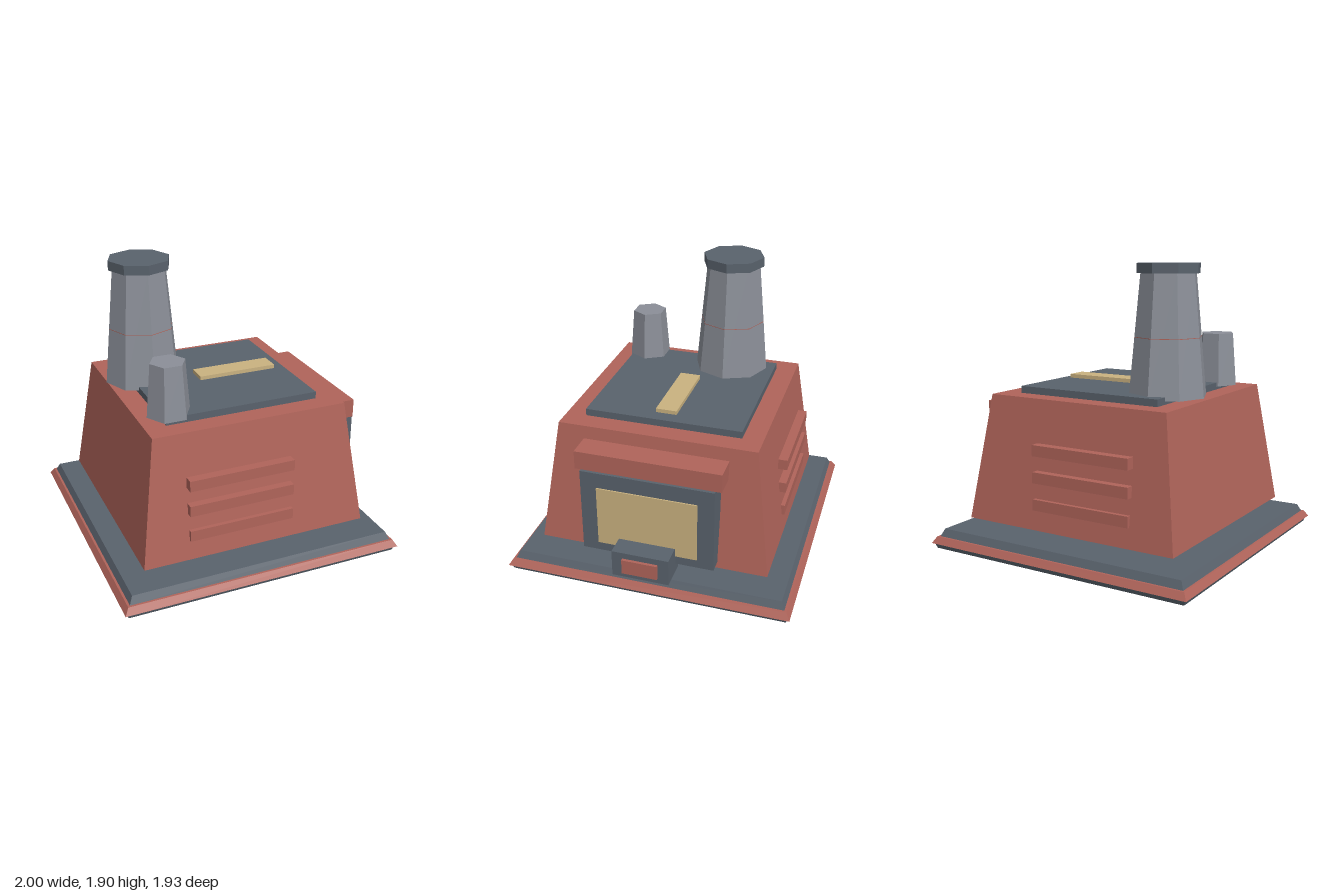
import * as THREE from 'three';

const material = (name, color) => {
  const m = new THREE.MeshStandardMaterial({ color });
  m.name = name;
  return m;
};

export function createModel() {
  const brick = material('brick red', 0xb0645a);
  const slate = material('dark slate', 0x59626c);
  const stone = material('grey stone', 0x8b8f98);
  const glow = material('warm sand', 0xcab280);

  const model = new THREE.Group();
  model.name = 'furnaceBuilding';
  const CX = -0.033; // centre of the base and body

  const add = (name, geometry, mat) => {
    const mesh = new THREE.Mesh(geometry, mat);
    mesh.name = name;
    model.add(mesh);
    return mesh;
  };

  // Box given by its limits on each axis
  const box = (name, mat, [x0, x1], [y0, y1], [z0, z1]) => {
    const g = new THREE.BoxGeometry(x1 - x0, y1 - y0, z1 - z0);
    g.translate((x0 + x1) / 2, (y0 + y1) / 2, (z0 + z1) / 2);
    return add(name, g, mat);
  };

  // Square block whose half width changes from bottom to top
  const taperedBlock = (name, mat, y0, y1, lower, upper) => {
    const g = new THREE.BoxGeometry(2, y1 - y0, 2);
    const p = g.attributes.position;
    for (let i = 0; i < p.count; i++) {
      const half = p.getY(i) > 0 ? upper : lower;
      p.setX(i, p.getX(i) * half);
      p.setZ(i, p.getZ(i) * half);
    }
    g.computeVertexNormals();
    g.translate(CX, (y0 + y1) / 2, 0);
    return add(name, g, mat);
  };

  // Faceted column with flat sides
  const column = (name, mat, x, z, y0, y1, lower, upper, sides, turn = 0) => {
    const g = new THREE.CylinderGeometry(upper, lower, y1 - y0, sides, 1, false, turn).toNonIndexed();
    g.computeVertexNormals();
    g.translate(x, (y0 + y1) / 2, z);
    return add(name, g, mat);
  };

  // Layered base
  taperedBlock('baseFoot', slate, 0, 0.036, 0.94, 0.953);
  taperedBlock('baseTrim', brick, 0.036, 0.08, 0.967, 0.94);
  taperedBlock('baseTop', slate, 0.08, 0.13, 0.925, 0.902);

  // Sloping body, raised above the base
  taperedBlock('body', brick, 0.197, 1.038, 0.778, 0.662);

  // Roof slab and skylight
  box('roofSlab', slate, [-0.555, 0.492], [1.038, 1.085], [-0.526, 0.526]);
  box('skylight', glow, [-0.14, 0.412], [1.092, 1.118], [-0.07, 0.07]);

  // Main chimney with cap and a thin flush band
  column('mainChimney', stone, -0.455, -0.214, 1.06, 1.84, 0.259, 0.185, 8);
  column('chimneyBand', brick, -0.455, -0.214, 1.438, 1.442, 0.2235, 0.2235, 8);
  column('chimneyCap', slate, -0.455, -0.214, 1.84, 1.903, 0.21, 0.21, 8);

  // Small hexagonal chimney
  column('smallChimney', stone, -0.497, 0.415, 1.06, 1.417, 0.146, 0.117, 6, Math.PI / 2);

  // Louvres on the front and back walls
  for (const y of [0.328, 0.508, 0.686]) {
    box('frontLouvre', brick, [-0.498, 0.22], [y, y + 0.073], [0.715, 0.777]);
    box('backLouvre', brick, [-0.498, 0.22], [y, y + 0.073], [-0.777, -0.715]);
  }

  // Furnace door on the +x side
  box('doorLintel', brick, [0.643, 0.813], [0.827, 0.953], [-0.485, 0.485]);
  box('doorFrame', slate, [0.684, 0.833], [0.238, 0.827], [-0.445, 0.445]);
  box('doorPanel', glow, [0.833, 0.842], [0.302, 0.72], [-0.335, 0.335]);
  box('doorHopper', slate, [0.772, 0.98], [0.175, 0.36], [-0.19, 0.19]);
  box('hopperPlate', brick, [0.98, 1.0], [0.215, 0.318], [-0.118, 0.118]);

  return model;
}
